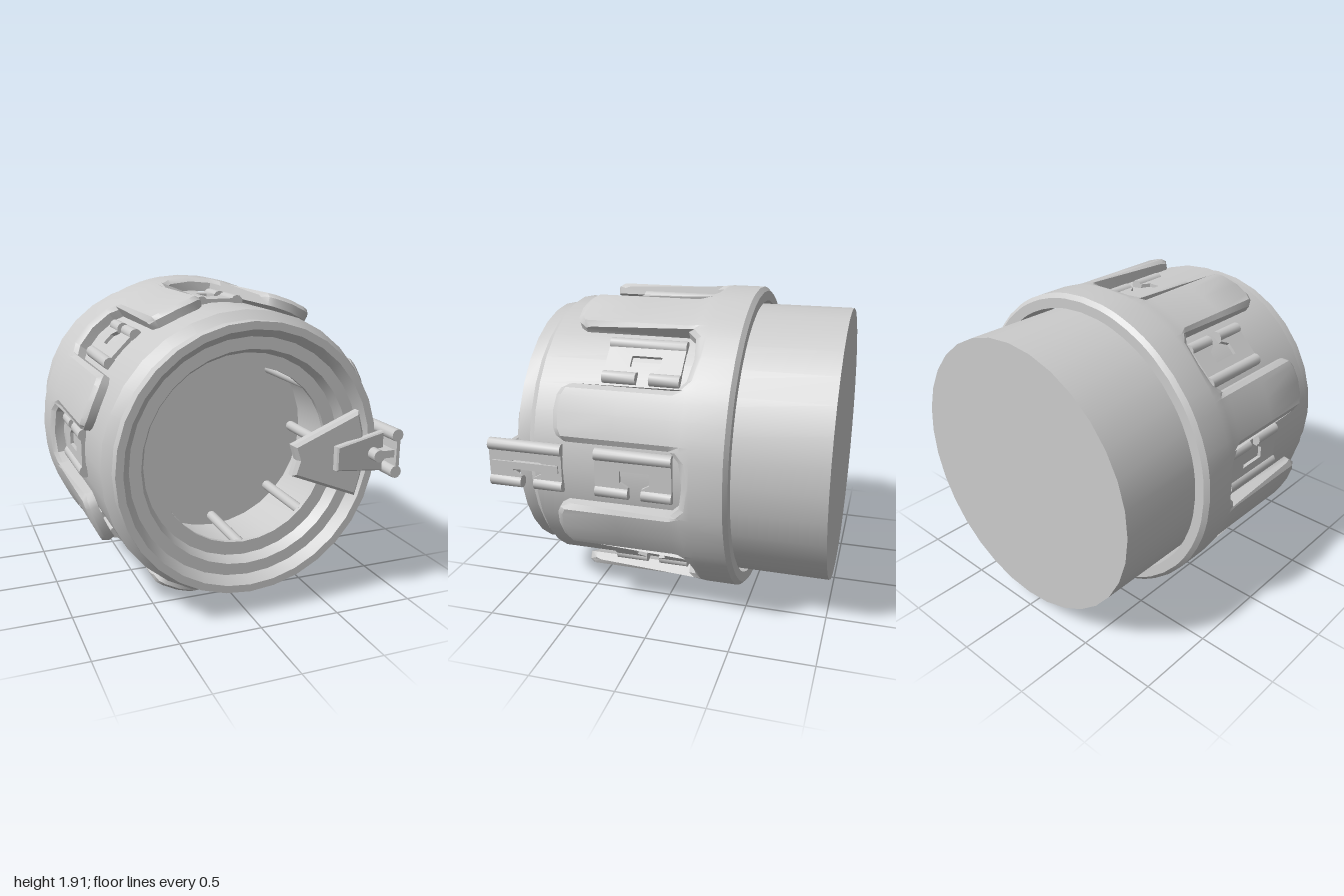
import * as THREE from 'three';
import { toCreasedNormals } from 'three/addons/utils/BufferGeometryUtils.js';

const AXIS_Y = 0.957;
const SECTORS = 8;
const mat = new THREE.MeshStandardMaterial({ color: 0xcccccc });
const rad = THREE.MathUtils.degToRad;

function part(name, geometry, crease = 0.6) {
  const mesh = new THREE.Mesh(toCreasedNormals(geometry, crease), mat);
  mesh.name = name;
  return mesh;
}

// Rod running along z from z0 to z1
function rod(name, x, y, r, z0, z1) {
  const g = new THREE.CylinderGeometry(r, r, z1 - z0, 12).rotateX(Math.PI / 2);
  return part(name, g.translate(x, y, (z0 + z1) / 2));
}

function plate(name, points, depth, bevel = 0) {
  const shape = new THREE.Shape(points.map(([x, y]) => new THREE.Vector2(x, y)));
  const g = new THREE.ExtrudeGeometry(shape, {
    depth, bevelEnabled: bevel > 0, bevelSize: bevel, bevelThickness: bevel,
    bevelOffset: -bevel, bevelSegments: 1,
  });
  return part(name, g, 0.3);
}

// Body: closed back, chamfered front, stepped rim and a hollow behind the lip
function makeBody() {
  const profile = [
    [0, -1], [0.85, -1], [0.85, 0.715], [0.8, 0.765], [0.8, 0.84], [0.755, 0.84],
    [0.71, 0.785], [0.64, 0.785], [0.61, 0.72], [0.53, 0.72], [0.53, 0.69],
    [0.62, 0.69], [0.62, 0.2], [0, 0.2],
  ].map(([r, z]) => new THREE.Vector2(r, z));
  return part('body', new THREE.LatheGeometry(profile, 32).rotateX(Math.PI / 2));
}

// Collar: one closed section per angle; the front edge steps between fingers and notches
function makeCollar() {
  const half = [[0, 0.575], [6, 0.565], [8.5, 0.545], [10.5, 0.5, 0.022], [10.5, -0.13], [14, -0.185], [22.5, -0.205]];
  const sector = [...half.slice(1).reverse().map(([a, z, b]) => [-a, z, b]), ...half.slice(0, -1)];
  const rows = [-0.44, -0.25, -0.19, -0.12, 0.2, 0.6];
  const outerR = (z) => {
    if (z < -0.25) return 0.955;
    return z < -0.12 ? THREE.MathUtils.mapLinear(z, -0.25, -0.12, 0.955, 0.942) : 0.94;
  };
  const section = (front, bevel = 0) => {
    const pts = [[0.93, -0.465]];
    for (const row of rows) {
      const z = Math.min(row, front - 0.035);
      pts.push([outerR(z) - (z >= -0.12 ? bevel : 0), z]);
    }
    pts.push([outerR(front) - 0.022 - bevel / 2, front]);
    pts.push([0.87, front], [0.87, -0.465]);
    return pts;
  };
  const pos = [], index = [];
  const count = rows.length + 4;
  for (let s = 0; s < SECTORS; s++) {
    for (const [deg, front, bevel] of sector) {
      const a = rad(22.5 + s * 45 + deg);
      for (const [r, z] of section(front, bevel)) pos.push(r * Math.cos(a), r * Math.sin(a), z);
    }
  }
  const columns = SECTORS * sector.length;
  for (let c = 0; c < columns; c++) {
    const d = (c + 1) % columns;
    for (let i = 0; i < count; i++) {
      const j = (i + 1) % count;
      index.push(c * count + i, d * count + i, c * count + j);
      index.push(d * count + i, d * count + j, c * count + j);
    }
  }
  const g = new THREE.BufferGeometry();
  g.setAttribute('position', new THREE.Float32BufferAttribute(pos, 3));
  g.setIndex(index);
  return part('collar', g);
}

// Clip: full rod, split rod and a plate with a T-shaped slot, lying at +x
function makeClip(name) {
  const clip = new THREE.Group();
  clip.name = name;
  clip.add(rod('clipRod', 0.85, 0.115, 0.037, -0.13, 0.33));
  clip.add(rod('clipSplitRod', 0.85, -0.108, 0.037, -0.13, 0.05));
  clip.add(rod('clipSplitRod', 0.85, -0.108, 0.037, 0.13, 0.33));
  // outline in (z, y), turned to face +x
  const face = plate('clipPlate', [
    [-0.33, -0.11], [-0.13, -0.11], [-0.13, -0.07], [-0.18, -0.04], [-0.18, 0.03], [0, 0.03],
    [0, -0.04], [-0.05, -0.07], [-0.05, -0.11], [0.13, -0.11], [0.13, 0.11], [-0.33, 0.11],
  ], 0.022);
  face.rotation.y = Math.PI / 2;
  face.position.x = 0.847;
  clip.add(face);
  return clip;
}

// Front latch: clip pushed forward with a tongue, a pin and a wedge plate
function makeLatch() {
  const latch = new THREE.Group();
  latch.name = 'frontLatch';
  const clip = makeClip('latchClip');
  clip.position.z = 0.665;
  latch.add(clip);
  latch.add(rod('latchPin', 0.735, 0, 0.037, 0.8, 0.995));

  const bar = part('latchBar', new THREE.BoxGeometry(0.12, 0.045, 0.42));
  bar.position.set(0.82, 0, 0.765);
  latch.add(bar);

  const tongue = plate('latchTongue', [[0, -0.072], [0.345, -0.122], [0.345, 0.122], [0, 0.072]], 0.03, 0.008);
  tongue.rotation.y = 0.16;
  tongue.position.set(0.47, 0, 0.925);
  latch.add(tongue);

  const wedge = plate('latchWedge', [
    [0.22, -0.09], [0.64, -0.26], [0.675, -0.13], [0.685, 0], [0.675, 0.13],
    [0.64, 0.26], [0.22, 0.09], [0.25, 0],
  ], 0.04, 0.018);
  wedge.position.z = 0.852;
  latch.add(wedge);
  return latch;
}

export function createModel() {
  const model = new THREE.Group();
  model.name = 'model';
  const assembly = new THREE.Group();
  assembly.name = 'assembly';
  assembly.position.y = AXIS_Y;
  model.add(assembly);

  assembly.add(makeBody(), makeCollar(), makeLatch());

  // Clips in the notches and rods inside the hollow
  for (let i = 0; i < SECTORS; i++) {
    const a = rad(i * 45);
    const clip = makeClip('clip');
    clip.rotation.z = a;
    assembly.add(clip);
    assembly.add(rod('innerRod', 0.56 * Math.cos(a), 0.56 * Math.sin(a), 0.032, 0.2, 0.7));
  }
  return model;
}
